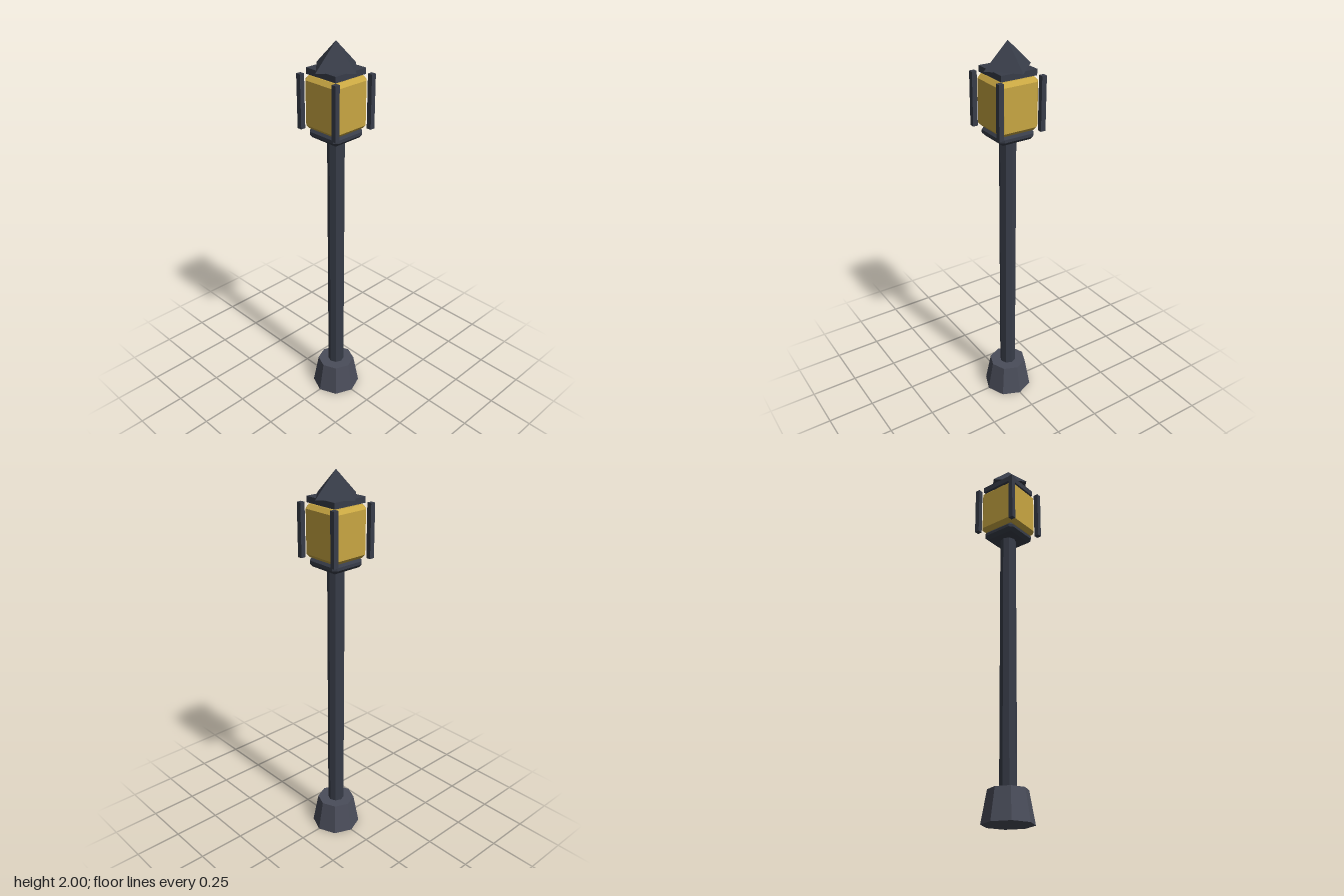
import * as THREE from 'three';
import { ConvexGeometry } from 'three/addons/geometries/ConvexGeometry.js';

const mat = (color) => new THREE.MeshStandardMaterial({ color, flatShading: true });

// Box with every edge cut by a flat chamfer of width b
function chamferBox(w, h, d, b) {
  const points = [];
  const [x, y, z] = [w / 2, h / 2, d / 2];
  for (const sx of [-1, 1]) for (const sy of [-1, 1]) for (const sz of [-1, 1]) {
    points.push(
      new THREE.Vector3(sx * x, sy * (y - b), sz * (z - b)),
      new THREE.Vector3(sx * (x - b), sy * y, sz * (z - b)),
      new THREE.Vector3(sx * (x - b), sy * (y - b), sz * z),
    );
  }
  return new ConvexGeometry(points);
}

export function createModel() {
  const group = new THREE.Group();
  const iron = mat(0x383d49);
  const stone = mat(0x4a4d5a);
  const glass = mat(0xc8a642);

  // Adds a part spanning the heights y0 to y1
  const add = (name, geometry, material, y0, y1, x = 0, z = 0) => {
    const mesh = new THREE.Mesh(geometry, material);
    mesh.name = name;
    mesh.position.set(x, (y0 + y1) / 2, z);
    group.add(mesh);
  };

  // Octagonal foot and pole
  add('base', new THREE.CylinderGeometry(0.1, 0.13, 0.163, 8), stone, 0, 0.163);
  add('pole', new THREE.CylinderGeometry(0.043, 0.043, 1.39, 8), iron, 0.16, 1.55);

  // Lantern: collar, glowing body, cap plate and pyramid roof
  add('collar', chamferBox(0.195, 0.052, 0.195, 0.018), iron, 1.53, 1.582);
  add('lampBody', chamferBox(0.22, 0.26, 0.22, 0.02), glass, 1.578, 1.838);
  add('capPlate', new THREE.BoxGeometry(0.196, 0.03, 0.196), iron, 1.845, 1.875);
  add('roof', new THREE.ConeGeometry(0.13, 0.126, 4), iron, 1.874, 2);

  // Four upright bars around the lantern corners
  for (const sx of [-1, 1]) for (const sz of [-1, 1]) {
    add('cornerBar', new THREE.BoxGeometry(0.026, 0.27, 0.026), iron, 1.577, 1.847, sx * 0.117, sz * 0.117);
  }
  return group;
}
